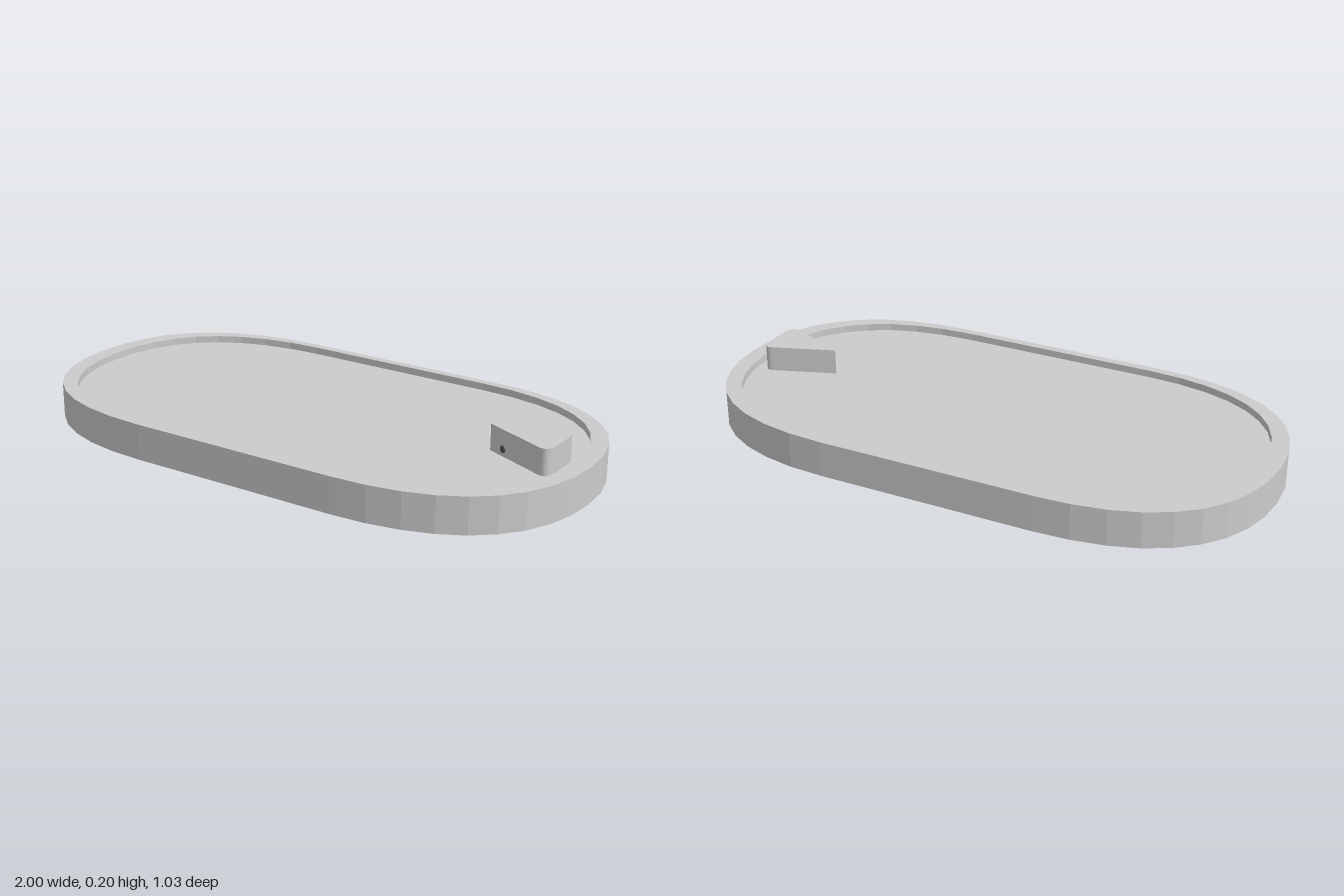
import * as THREE from 'three';

const paint = (color) => new THREE.MeshStandardMaterial({ color });
const GREY = paint(0xcccccc);
const BLACK = paint(0x222222);
const BLUE = paint(0x141c46);
const LINE = paint(0x555a66);
const SCREW = paint(0x555555);

// Oval with straight long sides, scaled evenly about its centre
function oval(s, Type = THREE.Shape) {
  const X = s, Z = 0.515 * s, x0 = 0.38 * s, cx = 0.78 * s, cz = 0.33 * s;
  const p = new Type();
  p.moveTo(X, 0);
  p.bezierCurveTo(X, cz, cx, Z, x0, Z);
  p.lineTo(-x0, Z);
  p.bezierCurveTo(-cx, Z, -X, cz, -X, 0);
  p.bezierCurveTo(-X, -cz, -cx, -Z, -x0, -Z);
  p.lineTo(x0, -Z);
  p.bezierCurveTo(cx, -Z, X, -cz, X, 0);
  return p;
}

export function createModel() {
  const model = new THREE.Group();

  const add = (name, geometry, material, x = 0, y = 0, z = 0) => {
    const mesh = new THREE.Mesh(geometry, material);
    mesh.name = name;
    mesh.position.set(x, y, z);
    model.add(mesh);
    return mesh;
  };

  // Flat outline raised from y0 to y1
  const slab = (name, shape, y0, y1, material) => {
    const g = new THREE.ExtrudeGeometry(shape, { depth: y1 - y0, bevelEnabled: false, curveSegments: 9 });
    g.rotateX(-Math.PI / 2);
    return add(name, g, material, 0, y0, 0);
  };

  // Raised rim around a shallow tray
  const rim = oval(1);
  rim.holes.push(oval(0.94, THREE.Path));
  slab('rim', rim, 0.01, 0.135, GREY);
  slab('trayFloor', oval(0.94), 0.012, 0.11, GREY);

  // Wedge-shaped post at the left end, with a rounded back
  const wedge = new THREE.Shape();
  wedge.moveTo(0.65, 0);
  wedge.lineTo(0.87, -0.095);
  wedge.quadraticCurveTo(0.9, -0.103, 0.905, -0.06);
  wedge.lineTo(0.905, 0.045);
  wedge.quadraticCurveTo(0.9, 0.09, 0.87, 0.08);
  wedge.closePath();
  slab('post', wedge, 0.105, 0.2, GREY);

  // Small port on the sloping front side of the post
  const port = add('port', new THREE.CylinderGeometry(0.012, 0.012, 0.012, 16), SCREW, 0.71, 0.135, 0.023);
  port.rotation.set(Math.PI / 2, 0, Math.atan2(0.095, 0.22));

  // Base plate with solar panel underneath
  slab('basePlate', oval(0.935), 0.006, 0.02, BLACK);
  add('solarPanel', new THREE.BoxGeometry(1.45, 0.008, 0.72), BLUE, 0, 0.005, 0);

  // Five lines divide the panel into six cells
  for (let i = -2; i <= 2; i++) {
    add('cellLine', new THREE.BoxGeometry(0.005, 0.004, 0.72), LINE, i * 0.242, 0.002, 0);
  }

  // Screws at the four corners
  for (const sx of [-1, 1]) {
    for (const sz of [-1, 1]) {
      add('screw', new THREE.CylinderGeometry(0.028, 0.028, 0.006, 20), SCREW, sx * 0.8, 0.006, sz * 0.215);
    }
  }

  return model;
}
